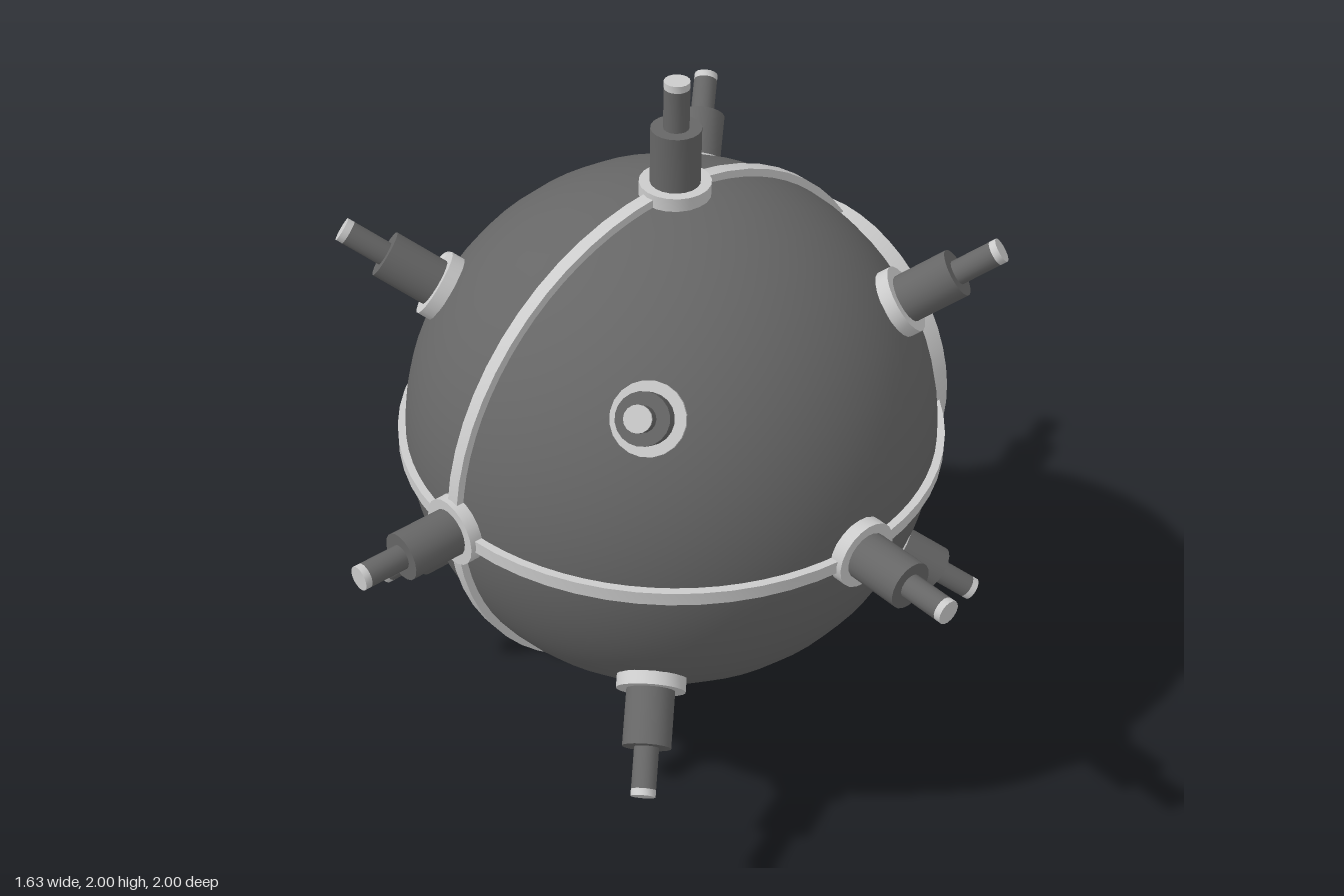
import * as THREE from 'three';
import { toCreasedNormals } from 'three/addons/utils/BufferGeometryUtils.js';

const R = 0.7;
const light = new THREE.MeshStandardMaterial({ color: 0xcccccc });
const dark = new THREE.MeshStandardMaterial({ color: 0x666666 });

// Revolve [radius, height] pairs around y, with crisp edges.
function turned(name, profile, material, segments = 40, start = 0, sweep = Math.PI * 2) {
  const points = profile.map(([r, h]) => new THREE.Vector2(r, h));
  const geometry = new THREE.LatheGeometry(points, segments, start, sweep);
  const mesh = new THREE.Mesh(toCreasedNormals(geometry, 0.5), material);
  mesh.name = name;
  return mesh;
}

// Flange, barrel and capped rod, built along +y from the sphere centre.
function makeAntenna(direction) {
  const antenna = new THREE.Group();
  antenna.name = 'antenna';
  antenna.add(
    turned('flange', [[0.09, 0.675], [0.09, 0.728], [0, 0.728]], light, 20),
    turned('barrel', [[0.063, 0.7], [0.063, 0.875], [0, 0.875]], dark, 20),
    turned('rod', [[0.032, 0.86], [0.032, 0.982]], dark, 16),
    turned('rodCap', [[0.032, 0.982], [0.032, 1], [0, 1]], light, 16)
  );
  antenna.quaternion.setFromUnitVectors(
    new THREE.Vector3(0, 1, 0), new THREE.Vector3(...direction).normalize());
  return antenna;
}

// Raised band around the sphere, open where the port sits on +x.
function makeBand(name) {
  const w = 0.018, inner = 0.68, outer = 0.72, gap = 0.61;
  return turned(name,
    [[inner, -w], [outer, -w], [outer, w], [inner, w]],
    light, 48, Math.PI / 2 + gap, Math.PI * 2 - 2 * gap);
}

// Stepped camera port, built along +y and turned to face +x.
function makePort() {
  const port = new THREE.Group();
  port.name = 'port';
  port.add(
    turned('outerRim', [[0.417, 0.56], [0.417, 0.615], [0.39, 0.615], [0.39, 0.605]], light, 48),
    turned('portFace', [[0.39, 0.605], [0.28, 0.605]], dark, 48),
    turned('innerRim', [[0.28, 0.6], [0.28, 0.628], [0.257, 0.628], [0.257, 0.6]], light, 48),
    turned('recess', [[0.257, 0.605], [0.25, 0.605], [0.25, 0.57], [0.21, 0.57],
      [0.21, 0.54], [0.16, 0.48]], dark, 48),
    turned('lens', [[0.16, 0.48], [0, 0.48]], light, 48)
  );
  port.rotation.z = -Math.PI / 2;
  return port;
}

export function createModel() {
  const model = new THREE.Group();
  model.name = 'sphericalProbe';

  // Sphere cut off where the port closes it
  const cut = 0.63;
  const arc = Array.from({ length: 33 }, (_, i) => {
    const a = Math.PI - (Math.PI - cut) * i / 32;
    return [R * Math.sin(a), R * Math.cos(a)];
  });
  const shell = turned('shell', arc, dark, 48);
  shell.rotation.z = -Math.PI / 2;
  model.add(shell, makePort());

  // Horizontal and vertical bands
  const upright = makeBand('verticalBand');
  upright.rotation.x = Math.PI / 2;
  model.add(makeBand('horizontalBand'), upright);

  // Antennas: five on the axes, eight near the diagonals
  const directions = [
    [0, 1, 0], [0, -1, 0], [0, 0, 1], [0, 0, -1], [-1, 0, 0],
    [0.54, 0.59, 0.59], [0.59, -0.53, 0.59], [0.59, 0.59, -0.54], [0.59, -0.53, -0.59],
    [-0.59, 0.54, -0.59], [-0.58, 0.59, 0.54], [-0.58, -0.59, 0.57], [-0.57, -0.59, -0.56]
  ];
  for (const d of directions) model.add(makeAntenna(d));

  model.position.set(0.185, 1, 0);
  const root = new THREE.Group();
  root.name = 'probe';
  root.add(model);
  return root;
}
